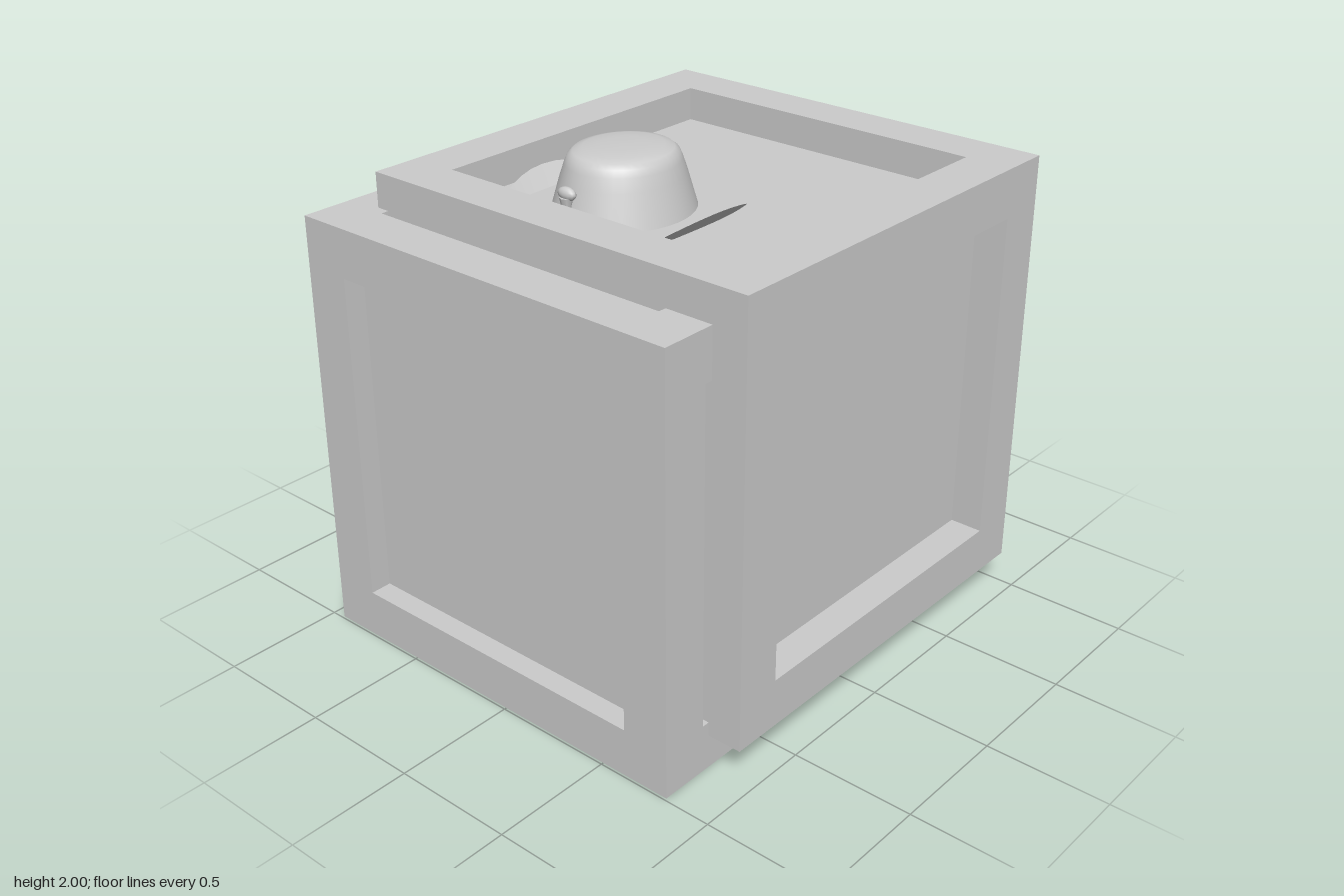
import * as THREE from 'three';
import { mergeGeometries } from 'three/addons/utils/BufferGeometryUtils.js';

const SIZE = 1.75, WINDOW = 1.355, HALF = SIZE / 2;
const FLOOR = 1.755; // level of the sunken top panel

function square(target, s) {
  const h = s / 2;
  return target.moveTo(-h, -h).lineTo(h, -h).lineTo(h, h).lineTo(-h, h).closePath();
}

// One cube side facing +z: a flat rim, four recess walls and a sunken panel
function recessedSide(depth) {
  const rim = square(new THREE.Shape(), SIZE);
  rim.holes.push(square(new THREE.Path(), WINDOW));
  const parts = [
    new THREE.ShapeGeometry(rim).translate(0, 0, HALF),
    new THREE.PlaneGeometry(WINDOW, WINDOW).translate(0, 0, HALF - depth),
  ];
  for (let i = 0; i < 4; i++) {
    parts.push(new THREE.PlaneGeometry(WINDOW, depth)
      .rotateX(Math.PI / 2)
      .translate(0, WINDOW / 2, HALF - depth / 2)
      .rotateZ(i * Math.PI / 2));
  }
  return mergeGeometries(parts);
}

function recessedCube(depth) {
  const sides = [];
  for (let i = 0; i < 4; i++) sides.push(recessedSide(depth).rotateY(i * Math.PI / 2));
  for (const s of [-1, 1]) sides.push(recessedSide(depth).rotateX(s * Math.PI / 2));
  return mergeGeometries(sides);
}

export function createModel() {
  const model = new THREE.Group();
  model.name = 'offsetCubesWithHat';
  const grey = new THREE.MeshStandardMaterial({ color: 0xcccccc });
  grey.name = 'grey';
  const greyThin = grey.clone();
  greyThin.side = THREE.DoubleSide;

  function add(name, geometry, x, y, z, parent = model, material = grey) {
    const mesh = new THREE.Mesh(geometry, material);
    mesh.name = name;
    mesh.position.set(x, y, z);
    parent.add(mesh);
    return mesh;
  }

  // Two interlocking cubes, shifted along the diagonal
  add('frontCube', recessedCube(0.09), -0.072, HALF, 0.115);
  add('backCube', recessedCube(0.135), 0.07, 2 * HALF - 0.735, -0.115);

  // Hat sunk into the top panel
  const hat = new THREE.Group();
  hat.name = 'hat';
  hat.position.set(-0.115, FLOOR, 0.165);
  model.add(hat);

  // Oval crown with a rounded shoulder
  const profile = [
    [0.265, -0.02], [0.223, 0.135], [0.207, 0.185], [0.196, 0.212],
    [0.178, 0.228], [0.145, 0.238], [0.08, 0.244], [0, 0.245],
  ].map(([r, y]) => new THREE.Vector2(r, y));
  add('crown', new THREE.LatheGeometry(profile, 40).scale(1, 1, 1.12), 0, 0, 0, hat);

  // Brim curling up at both sides and dipping below the panel elsewhere
  const brim = new THREE.RingGeometry(0.62, 1, 48, 4);
  const p = brim.attributes.position;
  for (let i = 0; i < p.count; i++) {
    const x = p.getX(i), z = -p.getY(i);
    const r = Math.hypot(x, z), t = (r - 0.62) / 0.38;
    const lift = 0.175 * ((x / r) ** 2 - 0.6);
    p.setXYZ(i, x * 0.422, lift - 0.17 * (1 - t), z * 0.505);
  }
  brim.computeVertexNormals();
  add('brim', brim, 0, 0, 0, hat, greyThin);

  // Small ornament with a tapered stem on the front of the crown
  add('ornament', new THREE.SphereGeometry(1, 12, 8).scale(0.042, 0.026, 0.022), -0.028, 0.118, 0.272, hat);
  add('ornamentStem', new THREE.CylinderGeometry(0.026, 0.012, 0.07, 8), -0.028, 0.07, 0.276, hat);

  return model;
}
